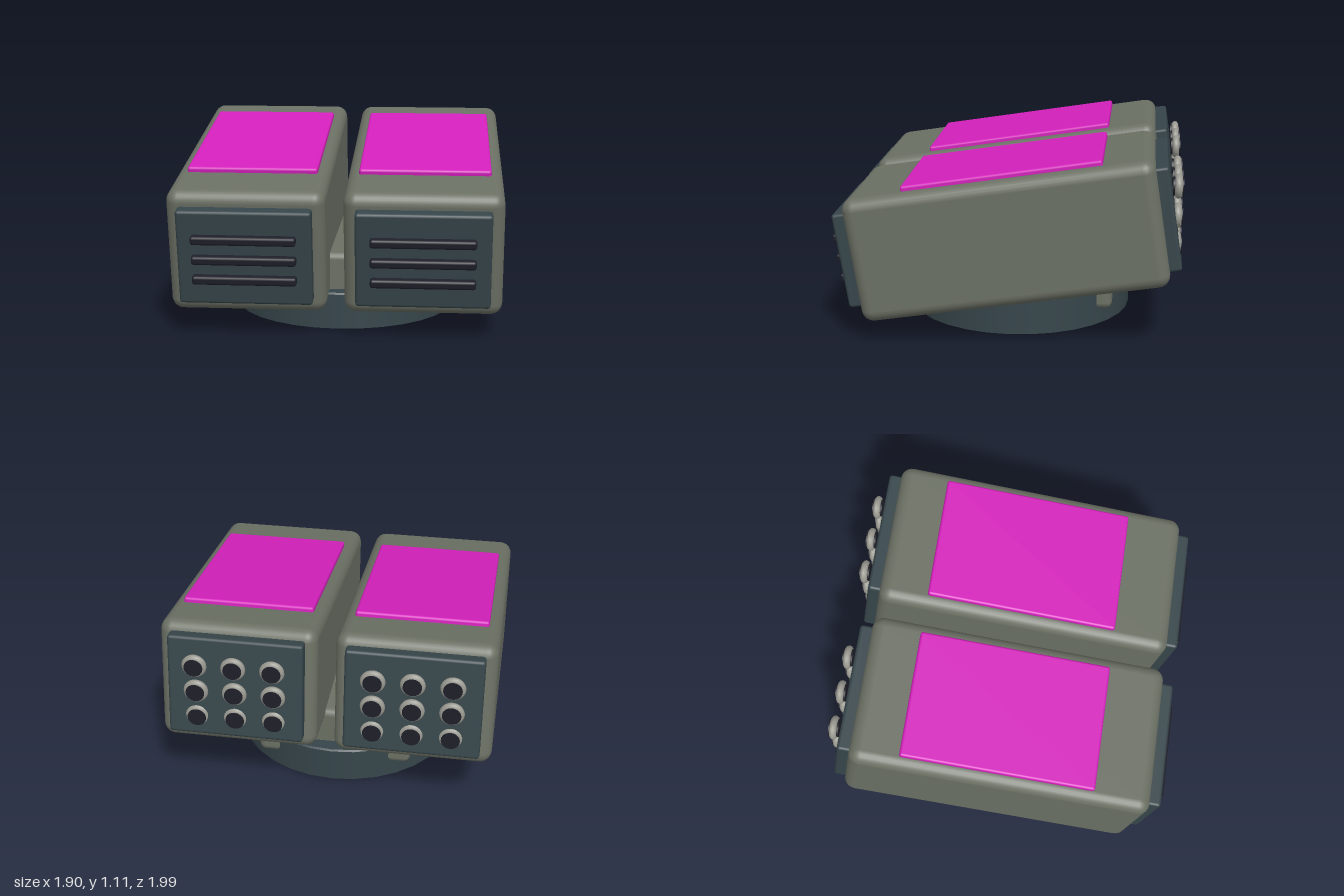
import * as THREE from 'three';
import { RoundedBoxGeometry } from 'three/addons/geometries/RoundedBoxGeometry.js';

const TILT = THREE.MathUtils.degToRad(9);

function makeMaterial(name, color) {
  const m = new THREE.MeshStandardMaterial({ color });
  m.name = name;
  return m;
}

export function createModel() {
  const olive = makeMaterial('olive grey', 0x6b7064);
  const slate = makeMaterial('dark slate', 0x36454a);
  const magenta = makeMaterial('magenta', 0xd420bc);
  const black = makeMaterial('near black', 0x1f1f2a);
  const steel = makeMaterial('light steel', 0x9a9a92);

  const model = new THREE.Group();
  model.name = 'twinPodLauncher';

  function add(parent, name, geometry, material, x, y, z) {
    const mesh = new THREE.Mesh(geometry, material);
    mesh.name = name;
    mesh.position.set(x, y, z);
    parent.add(mesh);
    return mesh;
  }
  const box = (w, h, d, r, segments = 2) => new RoundedBoxGeometry(w, h, d, segments, r);

  // Round turntable and the mount whose corners poke through its rim
  add(model, 'turntable', new THREE.CylinderGeometry(0.672, 0.68, 0.01, 32), slate, 0, 0.21, -0.008);
  add(model, 'turntableDrum', new THREE.CylinderGeometry(0.68, 0.68, 0.205, 32), slate, 0, 0.1025, -0.008);
  add(model, 'mount', box(0.92, 0.34, 1.18, 0.04), olive, 0, 0.262, -0.008);

  // Shared geometries of the two pods
  const bodyGeo = box(0.9, 0.73, 1.77, 0.07, 3);
  const frontGeo = box(0.76, 0.56, 0.12, 0.018);
  const backGeo = box(0.77, 0.6, 0.12, 0.018);
  const panelGeo = box(0.76, 0.06, 1.14, 0.015);
  const slatGeo = box(0.59, 0.05, 0.07, 0.015);
  const ringGeo = new THREE.TorusGeometry(0.049, 0.022, 10, 24);
  const boreGeo = new THREE.CylinderGeometry(0.053, 0.053, 0.06, 24);
  boreGeo.rotateX(Math.PI / 2);

  for (const side of [-1, 1]) {
    const label = side > 0 ? 'left' : 'right';

    // Tilted pod, lower at the front
    const pod = new THREE.Group();
    pod.name = label + 'Pod';
    pod.position.set(side * 0.5, 0.625, -0.008);
    pod.rotation.x = TILT;
    model.add(pod);
    add(pod, 'podBody', bodyGeo, olive, 0, 0, 0);
    add(pod, 'frontPlate', frontGeo, slate, 0, 0.002, 0.899);
    add(pod, 'backPlate', backGeo, slate, 0, 0.01, -0.894);
    add(pod, 'topPanel', panelGeo, magenta, 0, 0.365, -0.03);
    for (const y of [-0.12, 0, 0.12]) {
      add(pod, 'ventSlat', slatGeo, black, 0, y, 0.967);
    }

    // Upright grid of nine launch tubes on the back
    const tubes = new THREE.Group();
    tubes.name = label + 'LaunchTubes';
    tubes.position.set(side * 0.5, 0.765, -0.963);
    model.add(tubes);
    for (const row of [-1, 0, 1]) {
      for (const column of [-1, 0, 1]) {
        add(tubes, 'tubeRing', ringGeo, steel, column * 0.22, row * 0.168, 0);
        add(tubes, 'tubeBore', boreGeo, black, column * 0.22, row * 0.168, 0.002);
      }
    }
  }
  return model;
}
